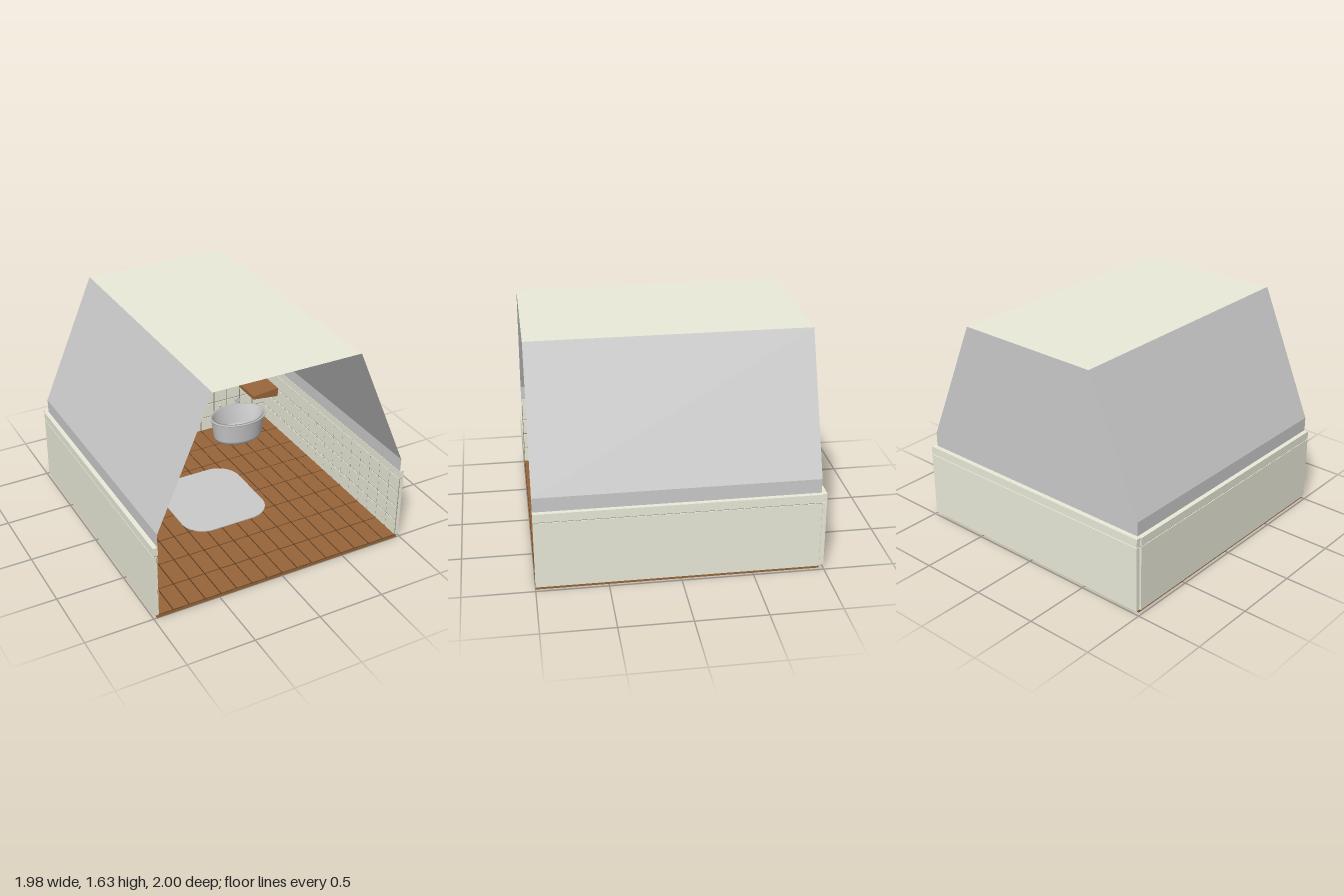
import * as THREE from 'three';
import { mergeGeometries } from 'three/addons/utils/BufferGeometryUtils.js';

const mat = (color, side = THREE.FrontSide) => new THREE.MeshStandardMaterial({ color, side });
const grey = mat(0xcccccc), greyThin = mat(0xcccccc, THREE.DoubleSide);
const ivory = mat(0xebebda), ivoryThin = mat(0xebebda, THREE.DoubleSide);
const wood = mat(0x98663a), grout = mat(0x8f8f80), darkWood = mat(0x573a20), glass = mat(0x8d9c91);

function add(parent, name, geometry, material, x = 0, y = 0, z = 0) {
  const mesh = new THREE.Mesh(geometry, material);
  mesh.name = name;
  mesh.position.set(x, y, z);
  parent.add(mesh);
  return mesh;
}

// Box given by its limits on each axis
function box(parent, name, material, [x0, x1], [y0, y1], [z0, z1]) {
  return add(parent, name, new THREE.BoxGeometry(x1 - x0, y1 - y0, z1 - z0), material,
    (x0 + x1) / 2, (y0 + y1) / 2, (z0 + z1) / 2);
}

function group(parent, name, x = 0, y = 0, z = 0) {
  const g = new THREE.Group();
  g.name = name;
  g.position.set(x, y, z);
  parent.add(g);
  return g;
}

const lathe = (points, segments = 32) =>
  new THREE.LatheGeometry(points.map(([r, y]) => new THREE.Vector2(r, y)), segments);

const cylinder = (top, bottom, height, n = 20) => new THREE.CylinderGeometry(top, bottom, height, n);

// Grid of tiles in the xy plane, with gaps between them
function tiles(width, height, columns, rows, depth, gap) {
  const w = width / columns, h = height / rows, list = [];
  for (let i = 0; i < columns; i++) for (let j = 0; j < rows; j++) {
    list.push(new THREE.BoxGeometry(w - gap, h - gap, depth)
      .translate((i + 0.5) * w - width / 2, (j + 0.5) * h - height / 2, 0));
  }
  return mergeGeometries(list);
}

// Flat mat with rounded corners, lying on the floor
function rug(parent, name, [x0, x1], [z0, z1], r) {
  const w = (x1 - x0) / 2, d = (z1 - z0) / 2, s = new THREE.Shape();
  s.absarc(w - r, d - r, r, 0, Math.PI / 2);
  s.absarc(r - w, d - r, r, Math.PI / 2, Math.PI);
  s.absarc(r - w, r - d, r, Math.PI, Math.PI * 1.5);
  s.absarc(w - r, r - d, r, Math.PI * 1.5, Math.PI * 2);
  const g = new THREE.ExtrudeGeometry(s, { depth: 0.008, bevelEnabled: false, curveSegments: 12 });
  add(parent, name, g.rotateX(-Math.PI / 2), grey, (x0 + x1) / 2, 0.025, (z0 + z1) / 2);
}

function buildRoom(room) {
  // Floor slab and floor tiles
  box(room, 'floorSlab', wood, [-0.975, 0.975], [0, 0.019], [-0.97, 1]);
  box(room, 'floorJoints', darkWood, [-0.96, 0.96], [0.019, 0.021], [-0.965, 0.998]);
  const floor = add(room, 'floorTiles', tiles(1.95, 1.96, 16, 8, 0.006, 0.01), wood, 0, 0.023, 0.02);
  floor.rotation.x = -Math.PI / 2;

  // Tiled walls with a top rail
  box(room, 'backWall', ivory, [-0.98, 0.98], [0.025, 0.515], [-1, -0.97]);
  box(room, 'backRail', ivory, [-0.98, 0.98], [0.521, 0.582], [-1, -0.957]);
  box(room, 'backJoints', grout, [-0.965, 0.965], [0.025, 0.521], [-0.99, -0.966]);
  add(room, 'backTiles', tiles(1.96, 0.495, 16, 4, 0.008, 0.01), ivory, 0, 0.272, -0.964);
  for (const s of [-1, 1]) {
    const span = (a, b) => (s > 0 ? [a, b] : [-b, -a]);
    box(room, 'sideWall', ivory, span(0.965, 0.99), [0.025, 0.515], [-0.965, 1]);
    box(room, 'sideRail', ivory, span(0.955, 0.99), [0.521, 0.582], [-0.965, 1]);
    box(room, 'sideJoints', grout, span(0.963, 0.985), [0.025, 0.521], [-0.965, 0.998]);
    const t = add(room, 'sideTiles', tiles(1.96, 0.495, 16, 4, 0.008, 0.01), ivory, s * 0.961, 0.272, 0.018);
    t.rotation.y = Math.PI / 2;
  }

  // Attic shell: knee walls, slopes, flat ceiling and rear gable
  const zMid = 0.0175, depth = 1.965, rise = 0.945, run = 0.405;
  for (const s of [-1, 1]) {
    const knee = add(room, 'kneeWall', new THREE.PlaneGeometry(depth, 0.103), greyThin, s * 0.957, 0.6335, zMid);
    knee.rotation.y = s * Math.PI / 2;
    const g = new THREE.PlaneGeometry(depth, Math.hypot(rise, run))
      .rotateX(-Math.atan2(run, rise)).rotateY(s * Math.PI / 2);
    add(room, 'roofSlope', g, greyThin, s * (0.957 - run / 2), 0.685 + rise / 2, zMid);
  }
  const ceiling = add(room, 'ceiling', new THREE.PlaneGeometry(1.104, depth), ivoryThin, 0, 1.63, zMid);
  ceiling.rotation.x = -Math.PI / 2;
  const outline = [[-0.957, 0.582], [0.957, 0.582], [0.957, 0.685], [0.552, 1.63], [-0.552, 1.63], [-0.957, 0.685]];
  const gable = new THREE.Shape(outline.map(([x, y]) => new THREE.Vector2(x, y)));
  add(room, 'gable', new THREE.ShapeGeometry(gable), greyThin, 0, 0, -0.965);
}

function buildToilet(parent) {
  const g = group(parent, 'toilet', -0.54, 0.03, -0.68);
  const bowl = add(g, 'bowl', lathe([[0, 0], [0.032, 0], [0.026, 0.03], [0.035, 0.05], [0.06, 0.075],
    [0.068, 0.11], [0.066, 0.118], [0.052, 0.115], [0.04, 0.08], [0, 0.07]]), greyThin);
  bowl.scale.z = 1.25;
  box(g, 'neck', grey, [-0.04, 0.04], [0.05, 0.115], [-0.16, -0.06]);
  box(g, 'tank', grey, [-0.072, 0.072], [0.11, 0.255], [-0.25, -0.125]);
  box(g, 'tankLid', grey, [-0.085, 0.085], [0.255, 0.272], [-0.26, -0.115]);
  const seat = add(g, 'seat', new THREE.TorusGeometry(0.058, 0.008, 8, 32), grey, 0, 0.12, 0);
  seat.rotation.x = Math.PI / 2;
  seat.scale.y = 1.25;
  const lid = add(g, 'raisedLid', cylinder(0.066, 0.066, 0.012, 32), grey, 0, 0.188, -0.1);
  lid.rotation.x = Math.PI / 2 - 0.12;
  lid.scale.z = 1.25;
}

function buildPaperAndBrush(parent) {
  // Paper holder with curved cover
  const p = group(parent, 'paperHolder', -0.81, 0.285, -0.96);
  const cover = add(p, 'cover', cylinder(0.045, 0.045, 0.15, 24), grey, 0, 0, 0.015);
  cover.rotation.z = Math.PI / 2;
  cover.scale.z = 0.5;
  const roll = add(p, 'roll', cylinder(0.034, 0.034, 0.06, 24), ivory, -0.005, -0.025, 0.06);
  roll.rotation.z = Math.PI / 2;
  box(p, 'sheet', ivory, [-0.035, 0.025], [-0.073, -0.025], [0.09, 0.094]);

  // Brush in its stand
  const b = group(parent, 'toiletBrush', -0.315, 0.027, -0.86);
  add(b, 'stand', cylinder(0.025, 0.036, 0.045), grey, 0, 0.0225, 0);
  add(b, 'handle', cylinder(0.006, 0.006, 0.13, 10), grey, 0, 0.11, 0);
}

function buildVanity(parent) {
  const g = group(parent, 'vanity');
  box(g, 'cabinet', wood, [-0.155, 0.16], [0.055, 0.155], [-0.955, -0.785]);
  box(g, 'counter', wood, [-0.16, 0.165], [0.15, 0.162], [-0.958, -0.775]);
  for (const s of [-1, 1]) {
    const x = 0.002 + s * 0.078;
    box(g, 'door', wood, [x - 0.074, x + 0.074], [0.06, 0.147], [-0.785, -0.778]);
    add(g, 'knob', new THREE.SphereGeometry(0.01, 14, 10), grey, 0.002 + s * 0.018, 0.133, -0.772);
    for (const z of [-0.93, -0.81]) {
      add(g, 'foot', cylinder(0.016, 0.011, 0.035, 12), wood, 0.002 + s * 0.128, 0.0395, z);
    }
  }
  // Basin and tap
  const basin = add(g, 'basin', lathe([[0, 0], [0.05, 0], [0.065, 0.03], [0.058, 0.03], [0.045, 0.009], [0, 0.007]]),
    greyThin, 0.02, 0.161, -0.85);
  basin.scale.z = 0.85;
  const path = [[0, 0.16, -0.93], [0, 0.205, -0.93], [0, 0.215, -0.91], [0, 0.2, -0.885]]
    .map((p) => new THREE.Vector3(...p));
  add(g, 'tap', new THREE.TubeGeometry(new THREE.CatmullRomCurve3(path), 16, 0.006, 8), grey, 0.02);
  // Cup with brushes
  add(g, 'cup', lathe([[0, 0], [0.015, 0], [0.019, 0.045], [0.015, 0.045], [0.012, 0.006], [0, 0.006]], 20),
    greyThin, -0.11, 0.162, -0.85);
  for (const s of [-1, 1]) {
    add(g, 'toothbrush', cylinder(0.003, 0.003, 0.07, 6), grey, -0.11 + s * 0.006, 0.2, -0.85).rotation.z = -s * 0.15;
  }
  // Framed mirror
  box(g, 'mirrorBack', grey, [-0.125, 0.125], [0.215, 0.45], [-0.962, -0.943]);
  box(g, 'mirrorGlass', glass, [-0.12, 0.12], [0.22, 0.445], [-0.943, -0.938]);
  for (const s of [-1, 1]) {
    box(g, 'frameSide', ivory, [s * 0.125 - 0.008, s * 0.125 + 0.008], [0.207, 0.458], [-0.962, -0.932]);
    const y = 0.3325 + s * 0.118;
    box(g, 'frameBar', ivory, [-0.125, 0.125], [y - 0.007, y + 0.007], [-0.962, -0.932]);
  }
}

function buildBath(parent) {
  const g = group(parent, 'bathtub', 0.612, 0.026, -0.765);
  const tub = add(g, 'tub', lathe([[0, 0], [0.205, 0], [0.215, 0.03], [0.237, 0.186], [0.247, 0.19], [0.247, 0.2],
    [0.22, 0.2], [0.195, 0.04], [0.18, 0.025], [0, 0.022]], 48), greyThin);
  tub.scale.z = 0.7;
  // Tap and shower head with its hose
  add(g, 'tapBody', cylinder(0.009, 0.009, 0.05, 12), grey, -0.082, 0.2, -0.165);
  add(g, 'tapKnob', new THREE.SphereGeometry(0.014, 14, 10), grey, -0.082, 0.222, -0.165);
  add(g, 'showerStem', cylinder(0.008, 0.008, 0.05, 12), grey, 0.075, 0.205, -0.165);
  add(g, 'showerHead', cylinder(0.025, 0.018, 0.03), grey, 0.075, 0.242, -0.155).rotation.x = Math.PI / 2;

  // Tapered wooden shelf on the side wall
  const shape = new THREE.Shape([[0.725, 0.365], [0.957, 0.338], [0.957, 0.415], [0.725, 0.393]]
    .map(([x, y]) => new THREE.Vector2(x, y)));
  add(parent, 'wallShelf', new THREE.ExtrudeGeometry(shape, { depth: 0.25, bevelEnabled: false }), wood, 0, 0, -0.958);
}

export function createModel() {
  const model = new THREE.Group();
  model.name = 'bathroom';
  buildRoom(group(model, 'room'));
  rug(model, 'largeRug', [-0.37, 0.32], [-0.4, 0.33], 0.18);
  rug(model, 'toiletRug', [-0.72, -0.37], [-0.84, -0.51], 0.08);
  buildToilet(model);
  buildPaperAndBrush(model);
  buildVanity(model);
  buildBath(model);
  return model;
}
